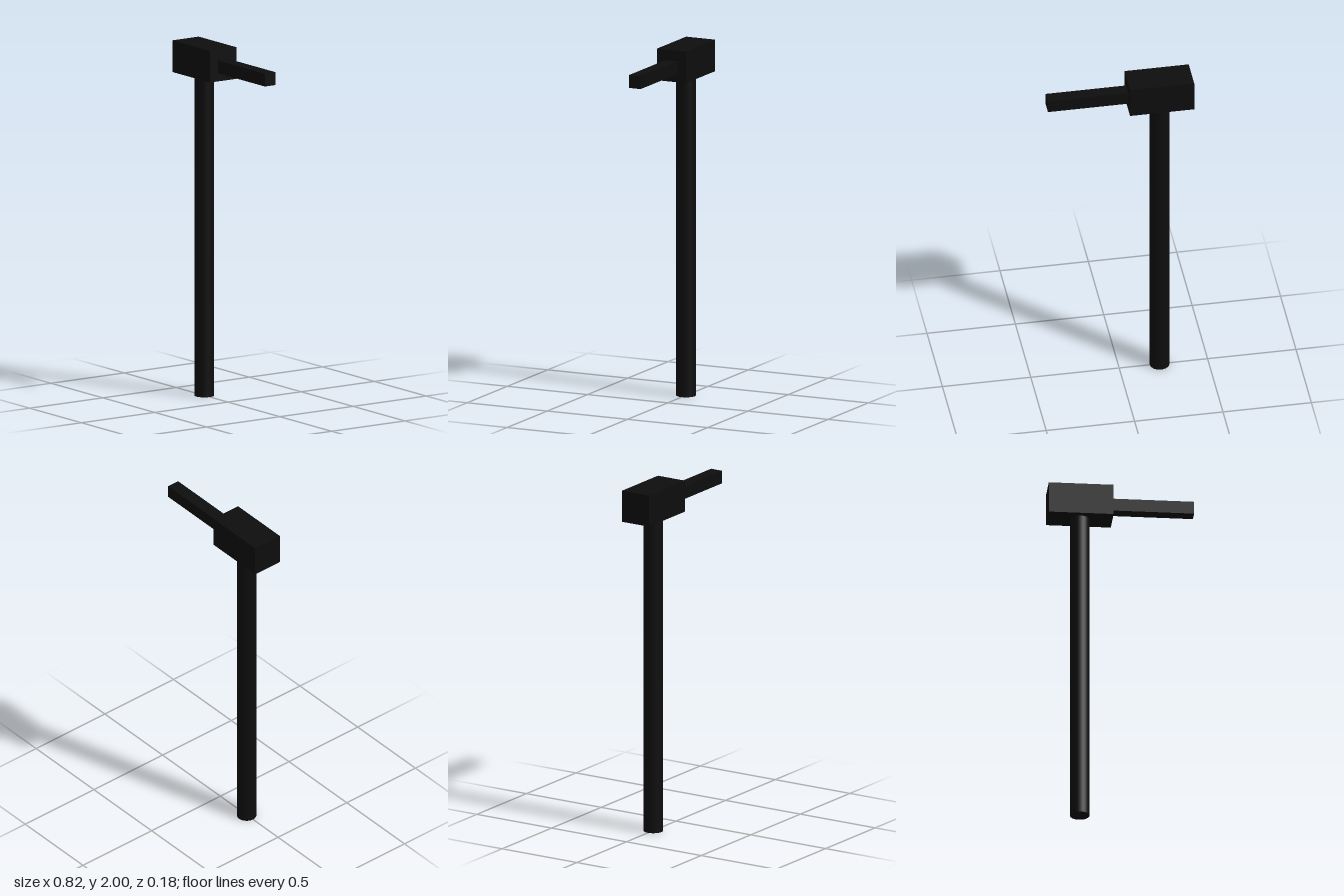
import * as THREE from 'three';

export function createModel() {
  const model = new THREE.Group();
  const black = new THREE.MeshStandardMaterial({ color: 0x0d0d0d });
  black.name = 'black';

  const add = (name, geometry, x, y, z = 0) => {
    const mesh = new THREE.Mesh(geometry, black);
    mesh.name = name;
    mesh.position.set(x, y, z);
    model.add(mesh);
  };

  // Round upright shaft, standing on the ground and seated in the head
  add('shaft', new THREE.CylinderGeometry(0.055, 0.055, 1.84, 24), -0.228, 0.92);

  // Block head on top of the shaft
  add('head', new THREE.BoxGeometry(0.363, 0.18, 0.18), -0.2275, 1.91);

  // Slim square arm reaching out from the side of the head
  add('arm', new THREE.BoxGeometry(0.475, 0.073, 0.073), 0.1715, 1.903);

  return model;
}
